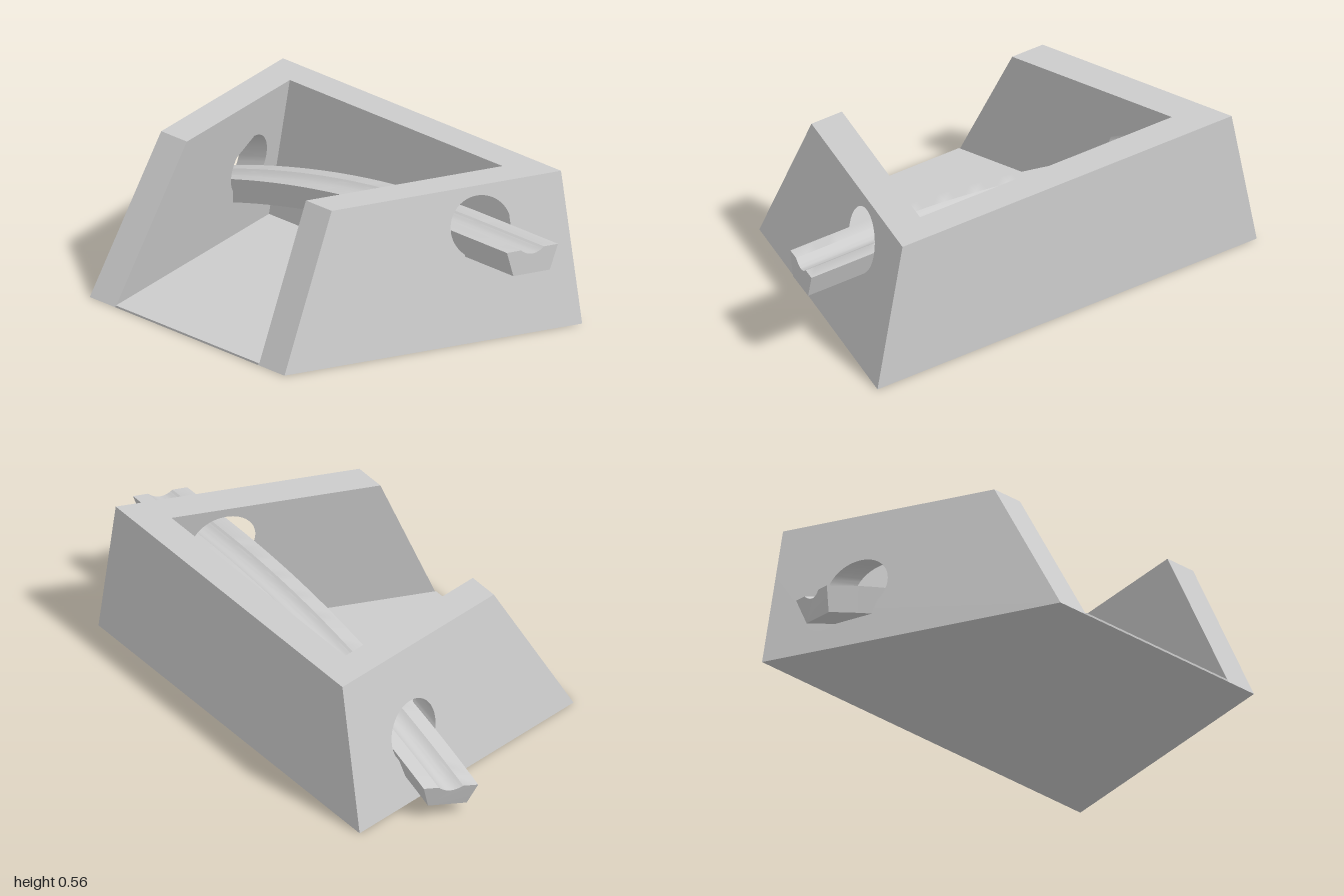
import * as THREE from 'three';
import { toCreasedNormals } from 'three/addons/utils/BufferGeometryUtils.js';

const H = 0.565, BACK = -0.577, FRONT = 0.577, WALL = 0.14;
const HOLE_Z = -0.245, HOLE_R = 0.117;
const mat = new THREE.MeshStandardMaterial({ color: 0xcccccc });

// Half width of the cavity, narrowing upward and toward the front
const innerX = (y, z) => 0.56 - 0.296 * z - 0.2035 * y;

// Move every vertex of a geometry by a rule, then rebuild its normals
function warp(geo, rule) {
  const p = geo.attributes.position, v = new THREE.Vector3();
  for (let i = 0; i < p.count; i++) {
    rule(v.fromBufferAttribute(p, i));
    p.setXYZ(i, v.x, v.y, v.z);
  }
  return toCreasedNormals(geo, 0.6);
}

function addMesh(group, name, geo) {
  const mesh = new THREE.Mesh(geo, mat);
  mesh.name = name;
  group.add(mesh);
}

// Leaning side wall with a round hole; side is +1 or -1
function sideWall(side, frontTopZ, holeY, holeSlope) {
  const s = z => -side * z;
  const shape = new THREE.Shape([
    [BACK, 0], [FRONT, 0], [frontTopZ, H], [BACK, H],
  ].map(([z, y]) => new THREE.Vector2(s(z), y)));
  shape.holes.push(new THREE.Path().absarc(s(HOLE_Z), holeY, HOLE_R, 0, Math.PI * 2, true));
  const geo = new THREE.ExtrudeGeometry(shape, { depth: WALL, bevelEnabled: false, curveSegments: 48 });
  return warp(geo, v => {
    const z = -side * v.x, d = v.z;
    // The bore follows the slope of the bar
    if (Math.hypot(z - HOLE_Z, v.y - holeY) < HOLE_R * 1.1) v.y += (WALL - d) * holeSlope;
    v.set(side * (innerX(v.y, z) + d), v.y, z);
  });
}

// Panel spanning the cavity between the side walls
function panel(y0, y1, z0, z1) {
  return warp(new THREE.BoxGeometry(2, 1, 1), v => {
    const y = v.y < 0 ? y0 : y1, z = v.z < 0 ? z0 : z1;
    v.set(v.x * innerX(y, z), y, z);
  });
}

// Grooved, tapered bar: straight on one side, bending down toward the other
function bar() {
  const shape = new THREE.Shape();
  shape.moveTo(-0.1, 0);
  shape.lineTo(-0.075, -0.095);
  shape.lineTo(0.068, -0.095);
  shape.lineTo(0.1, 0);
  shape.lineTo(0.045, 0);
  shape.quadraticCurveTo(0, -0.04, -0.045, 0);
  const geo = new THREE.ExtrudeGeometry(shape, { depth: 1, steps: 40, bevelEnabled: false, curveSegments: 12 });
  return warp(geo, v => {
    const x = THREE.MathUtils.lerp(-0.972, 0.968, v.z) + 0.28 * v.x;
    const bend = Math.max(0, 0.6 - x), angle = Math.atan(bend / 4.57);
    const top = 0.41 - bend * bend / 9.14;
    v.set(x - Math.sin(angle) * v.y, top + Math.cos(angle) * v.y, HOLE_Z - v.x);
  });
}

export function createModel() {
  const model = new THREE.Group();
  model.name = 'trayWithBar';
  addMesh(model, 'leftWall', sideWall(1, 0.312, 0.412, 0));
  addMesh(model, 'rightWall', sideWall(-1, 0.24, 0.25, 0.28));
  addMesh(model, 'backWall', panel(0, H, BACK, -0.45));
  addMesh(model, 'floor', panel(0, 0.008, -0.45, FRONT));
  addMesh(model, 'groovedBar', bar());
  return model;
}
